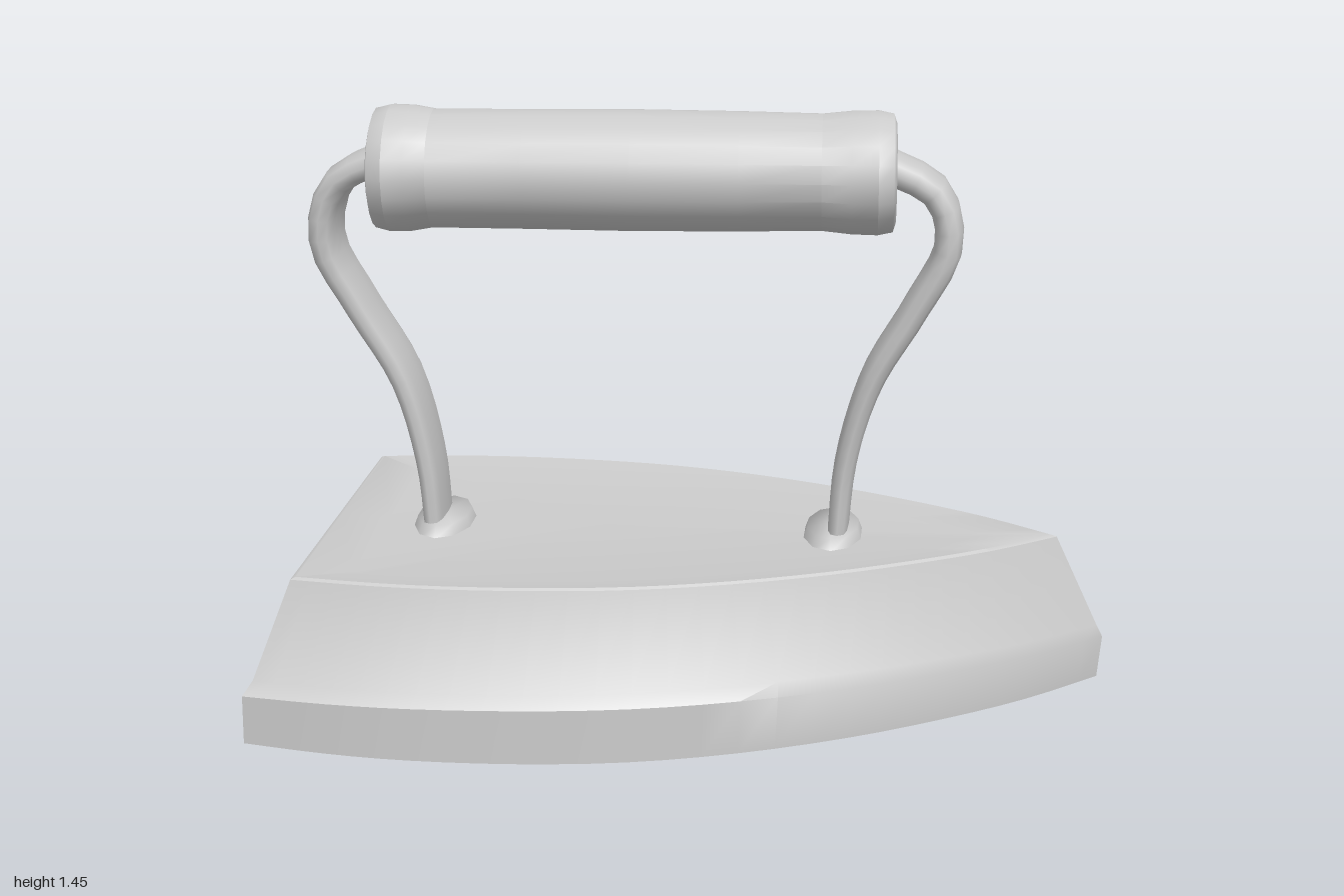
import * as THREE from 'three';
import { toCreasedNormals } from 'three/addons/utils/BufferGeometryUtils.js';

const material = new THREE.MeshStandardMaterial({ color: 0xcccccc });

// Skin a stack of closed rings (arrays of Vector3, counter-clockwise from above)
function loft(rings, crease) {
  const n = rings[0].length, pos = [], index = [];
  rings.forEach(r => r.forEach(p => pos.push(p.x, p.y, p.z)));
  for (let i = 0; i < rings.length - 1; i++) {
    for (let j = 0; j < n; j++) {
      const k = (j + 1) % n;
      const a = i * n + j, b = i * n + k, c = b + n, d = a + n;
      index.push(a, b, c, a, c, d);
    }
  }
  const g = new THREE.BufferGeometry();
  g.setAttribute('position', new THREE.Float32BufferAttribute(pos, 3));
  g.setIndex(index);
  return toCreasedNormals(g, crease);
}

function add(group, name, geometry) {
  const mesh = new THREE.Mesh(geometry, material);
  mesh.name = name;
  group.add(mesh);
  return mesh;
}

// Half outline of the sole: x against half width
const halfOutline = new THREE.SplineCurve([
  [-1, 0.59], [-0.8, 0.617], [-0.6, 0.627], [-0.35, 0.615], [-0.1, 0.578], [0.15, 0.505],
  [0.4, 0.4], [0.62, 0.28], [0.82, 0.15], [1, 0],
].map(p => new THREE.Vector2(...p))).getPoints(27);

const outline = [
  ...halfOutline,
  ...halfOutline.slice(0, -1).reverse().map(p => new THREE.Vector2(p.x, -p.y)),
  new THREE.Vector2(-1, 0),
];

// One level of the body: stern x, tip x, width factor, height, shrink to the middle
function bodyRing(stern, tip, width, y, shrink = 1, bow = 0) {
  return outline.map(p => {
    let x = stern + (p.x + 1) / 2 * (tip - stern);
    x = -0.2 + (x + 0.2) * shrink;
    return new THREE.Vector3(x, y + bow * (x + 0.15) ** 2, p.y * width * shrink);
  });
}

// Flat strap swept along a path in x, y, z
function strap(points) {
  const curve = new THREE.CatmullRomCurve3(points.map(p => new THREE.Vector3(...p)));
  const rings = [], steps = 22, sides = 12;
  for (let i = 0; i <= steps; i++) {
    const p = curve.getPointAt(i / steps), t = curve.getTangentAt(i / steps);
    const normal = new THREE.Vector3(t.y, -t.x, 0).normalize();
    const thick = 0.025 + 0.012 * i / steps;
    const wide = 0.104 - 0.012 * i / steps;
    const ring = [];
    for (let j = 0; j < sides; j++) {
      const a = j / sides * Math.PI * 2, c = Math.cos(a), s = Math.sin(a);
      // squarish oval section
      const u = Math.sign(c) * Math.abs(c) ** 0.7, v = Math.sign(s) * Math.abs(s) ** 0.7;
      ring.push(p.clone().addScaledVector(normal, u * thick).add(new THREE.Vector3(0, 0, -v * wide)));
    }
    rings.push(ring);
  }
  return loft(rings, 1.2);
}

export function createModel() {
  const model = new THREE.Group();
  model.name = 'flatIron';

  // Body: bowed sole, upright skirt, sloping sides, shallow dished top
  add(model, 'body', loft([
    bodyRing(-1, 0.99, 1, 0.003, 0, 0.023),
    bodyRing(-1, 0.99, 1, 0.003, 0.5, 0.023),
    bodyRing(-1, 0.99, 1, 0.003, 0.97, 0.023),
    bodyRing(-1, 0.99, 1, 0.01, 1, 0.02),
    bodyRing(-1, 1, 0.995, 0.14),
    bodyRing(-0.98, 0.985, 0.95, 0.17),
    bodyRing(-0.9, 0.88, 0.83, 0.395),
    bodyRing(-0.9, 0.88, 0.83, 0.4, 0.985),
    bodyRing(-0.9, 0.88, 0.83, 0.388, 0.82),
    bodyRing(-0.9, 0.88, 0.83, 0.385, 0),
  ], 0.6));

  // Handle straps, leaning towards the front as they rise
  add(model, 'rightStrap', strap([
    [-0.645, 0.37, 0], [-0.66, 0.56, 0.01], [-0.71, 0.77, 0.03], [-0.81, 0.96, 0.06],
    [-0.88, 1.12, 0.09], [-0.845, 1.26, 0.1], [-0.7, 1.335, 0.11],
  ]));
  add(model, 'leftStrap', strap([
    [0.345, 0.37, -0.005], [0.365, 0.58, 0], [0.425, 0.79, 0.02], [0.525, 0.97, 0.04],
    [0.6, 1.13, 0.055], [0.57, 1.25, 0.055], [0.43, 1.325, 0.06],
  ]));

  // Foot plates under the straps
  for (const [name, x] of [['rightFootPlate', -0.63], ['leftFootPlate', 0.335]]) {
    const plate = add(model, name, toCreasedNormals(new THREE.CylinderGeometry(0.85, 1, 0.03, 10), 0.6));
    plate.scale.set(0.075, 1, 0.145);
    plate.position.set(x, 0.397, 0);
  }

  // Grip: a slightly barrelled roll with a raised collar at each end
  const profile = [
    [0, -0.612], [0.8, -0.612], [0.97, -0.605], [1.03, -0.57], [1.02, -0.52], [0.96, -0.47],
    [0.965, -0.25], [0.98, 0], [0.965, 0.25], [0.94, 0.44], [0.99, 0.51], [1, 0.57],
    [0.95, 0.605], [0.8, 0.612], [0, 0.612],
  ].map(p => new THREE.Vector2(...p));
  const grip = add(model, 'grip', toCreasedNormals(new THREE.LatheGeometry(profile, 20), 0.8));
  grip.scale.set(0.145, 1, 0.168);
  grip.rotation.set(0, 0.04, -Math.PI / 2);
  grip.position.set(-0.138, 1.3, 0.102);

  return model;
}
